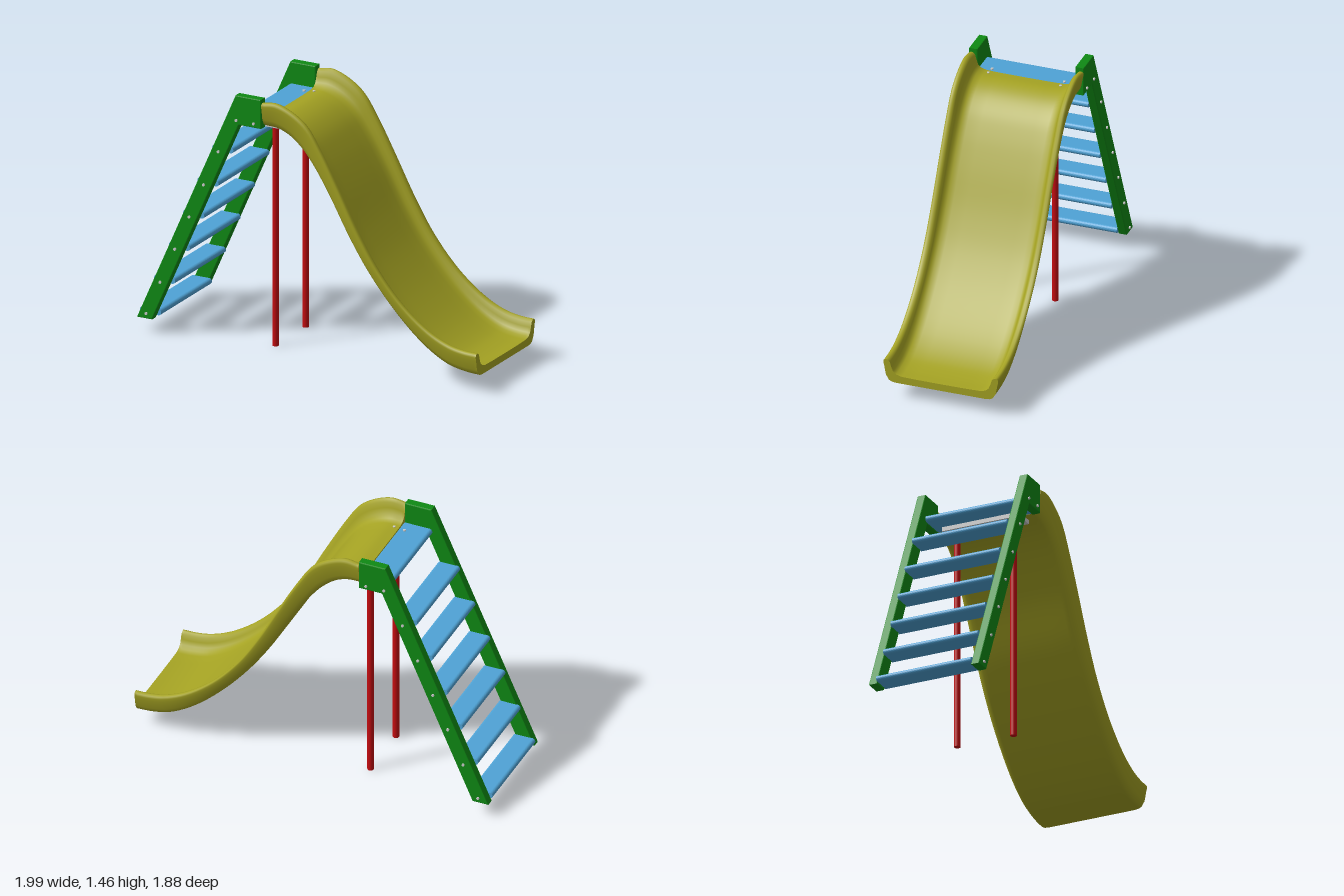
import * as THREE from 'three';

const mat = (color, side = THREE.FrontSide) => new THREE.MeshStandardMaterial({ color, side });
const green = mat(0x0f8a14), blue = mat(0x4fa3d6), red = mat(0xc40c10);
const yellow = mat(0xa5a323), grey = mat(0xcccccc);

function add(parent, name, geometry, material, x = 0, y = 0, z = 0) {
  const mesh = new THREE.Mesh(geometry, material);
  mesh.name = name;
  mesh.position.set(x, y, z);
  parent.add(mesh);
  return mesh;
}

// Slide: a closed trough section swept between a floor line and a lip line
function slideGeometry() {
  // floor x, floor y, lip x, lip y
  const stations = [
    [-0.285, 1.295, -0.285, 1.435], [-0.21, 1.29, -0.2, 1.445], [-0.13, 1.26, -0.1, 1.41],
    [-0.05, 1.195, -0.01, 1.345], [0.02, 1.11, 0.08, 1.21], [0.11, 0.97, 0.185, 1.02],
    [0.24, 0.74, 0.31, 0.785], [0.36, 0.56, 0.43, 0.595], [0.52, 0.37, 0.58, 0.425],
    [0.695, 0.21, 0.74, 0.305], [0.84, 0.125, 0.865, 0.25], [0.95, 0.1, 0.955, 0.233],
    [1.035, 0.095, 1.035, 0.23],
  ];
  const floor = new THREE.CatmullRomCurve3(stations.map((s) => new THREE.Vector3(s[0], s[1], 0)));
  const lip = new THREE.CatmullRomCurve3(stations.map((s) => new THREE.Vector3(s[2], s[3], 0)));

  // half section: sideways offset, height from floor (0) to lip (1)
  const half = [
    [0, 0], [0.15, 0], [0.255, 0], [0.28, 0.02], [0.297, 0.08], [0.315, 0.3], [0.325, 0.7],
    [0.33, 0.85], [0.328, 0.95], [0.318, 1], [0.305, 0.99], [0.293, 0.9], [0.285, 0.7],
    [0.275, 0.5], [0.257, 0.38], [0.225, 0.32], [0.15, 0.305], [0, 0.3],
  ];
  const ring = [...half, ...half.slice(1, -1).reverse().map(([z, t]) => [-z, t])];
  const n = ring.length, steps = 60, pos = [], index = [];
  const addRing = (s) => {
    const f = floor.getPoint(s), l = lip.getPoint(s);
    for (const [z, t] of ring) pos.push(f.x + (l.x - f.x) * t, f.y + (l.y - f.y) * t, z);
  };
  for (let s = 0; s <= steps; s++) addRing(s / steps);
  for (let s = 0; s < steps; s++) {
    for (let i = 0; i < n; i++) {
      const a = s * n + i, c = s * n + (i + 1) % n;
      index.push(a, a + n, c, c, a + n, c + n);
    }
  }
  // end caps
  const faces = THREE.ShapeUtils.triangulateShape(ring.map(([z, t]) => new THREE.Vector2(z, t)), []);
  for (const end of [0, 1]) {
    const base = pos.length / 3;
    addRing(end);
    for (const [a, b, c] of faces) {
      if (end) index.push(base + a, base + c, base + b);
      else index.push(base + a, base + b, base + c);
    }
  }
  const g = new THREE.BufferGeometry();
  g.setAttribute('position', new THREE.Float32BufferAttribute(pos, 3));
  g.setIndex(index);
  g.computeVertexNormals();
  return g;
}

// Board with rounded long edges, running across the ladder
function boardGeometry(width, height, length) {
  const r = height / 2, w = width / 2 - r;
  const shape = new THREE.Shape();
  shape.absarc(w, 0, r, -Math.PI / 2, Math.PI / 2, false);
  shape.absarc(-w, 0, r, Math.PI / 2, Math.PI * 1.5, false);
  shape.closePath();
  return new THREE.ExtrudeGeometry(shape, { depth: length, bevelEnabled: false, curveSegments: 8 })
    .translate(0, 0, -length / 2);
}

export function createModel() {
  const model = new THREE.Group();
  model.name = 'playgroundSlide';
  const body = new THREE.Group();
  body.name = 'slideAndLadder';
  body.rotation.y = -THREE.MathUtils.degToRad(42);
  model.add(body);

  add(body, 'slideTrough', slideGeometry(), yellow);

  // Ladder rails, each ending in a square block at the top
  const bevel = 0.005;
  const outline = [[-1.05, 0.08], [-0.957, 0.08], [-0.423, 1.288], [-0.287, 1.288], [-0.287, 1.455], [-0.443, 1.455]];
  const railShape = new THREE.Shape(outline.map(([x, y]) => new THREE.Vector2(x, y)));
  const railGeo = new THREE.ExtrudeGeometry(railShape, {
    depth: 0.05 - 2 * bevel, bevelThickness: bevel, bevelSize: bevel, bevelOffset: -bevel, bevelSegments: 2,
  }).translate(0, 0, -0.025 + bevel);

  // Treads follow the slope of the rails
  const treadHeights = [0.11, 0.305, 0.51, 0.71, 0.91, 1.115];
  const railCentre = (y) => -1.0035 + (y - 0.08) / 2.265;
  const treadGeo = boardGeometry(0.13, 0.035, 0.565);
  treadHeights.forEach((y) => add(body, 'tread', treadGeo, blue, railCentre(y), y, 0));
  add(body, 'platform', boardGeometry(0.175, 0.036, 0.565), blue, -0.362, 1.313, 0);

  // Bracket under the join
  add(body, 'bracket', new THREE.BoxGeometry(0.12, 0.024, 0.46), grey, -0.285, 1.281, 0);

  const postGeo = new THREE.CylinderGeometry(0.018, 0.018, 1.27, 20);
  const boltGeo = new THREE.CylinderGeometry(0.008, 0.008, 0.012, 10);
  const railBolts = [...treadHeights.map((y) => [railCentre(y), y]), [-0.437, 1.313], [-0.33, 1.313]];
  for (const side of [-1, 1]) {
    add(body, 'ladderRail', railGeo, green, 0, 0, side * 0.305);
    add(body, 'supportPost', postGeo, red, -0.285, 0.635, side * 0.168);
    for (const [x, y] of railBolts) {
      add(body, 'railBolt', boltGeo, grey, x, y, side * 0.332).rotation.x = Math.PI / 2;
    }
    add(body, 'platformBolt', boltGeo, grey, -0.317, 1.332, side * 0.207);
    add(body, 'slideBolt', boltGeo, grey, -0.257, 1.338, side * 0.207);
  }
  return model;
}
